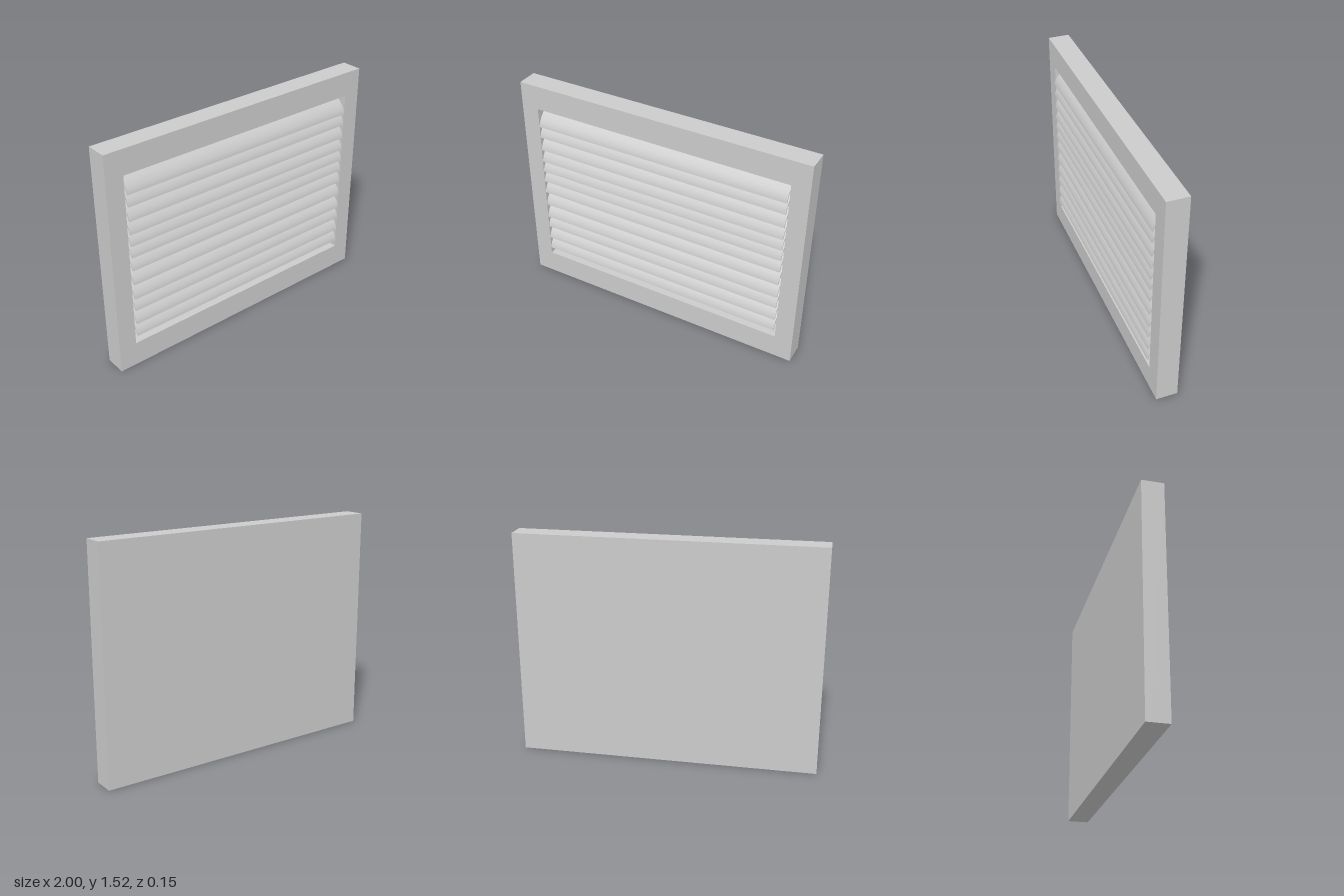
import * as THREE from 'three';
import { toCreasedNormals } from 'three/addons/utils/BufferGeometryUtils.js';

const W = 2, H = 1.52, FRONT = 0.065, BACK = -0.077, RECESS = -0.05;
const OPEN = { x: 0.88, y0: 0.165, y1: 1.355 };
const SLAT_HALF = 0.87;
// height of each slat's lower edge; the spacing is uneven
const SLAT_Y = [0.225, 0.316, 0.417, 0.503, 0.608, 0.711, 0.802, 0.882, 0.963, 1.053, 1.15, 1.23];

const material = new THREE.MeshStandardMaterial({ color: 0xcccccc });

function addMesh(parent, name, geometry) {
  const mesh = new THREE.Mesh(geometry, material);
  mesh.name = name;
  parent.add(mesh);
  return mesh;
}

function rectPath(path, x0, y0, x1, y1) {
  path.moveTo(x0, y0);
  path.lineTo(x1, y0);
  path.lineTo(x1, y1);
  path.lineTo(x0, y1);
  path.closePath();
  return path;
}

// curved blade: section drawn in (z, y), swept along x
function slatGeometry() {
  const shape = new THREE.Shape();
  shape.moveTo(0.068, 0.003);
  shape.lineTo(0.077, 0);
  shape.quadraticCurveTo(0.07, 0.055, 0.002, 0.106);
  shape.lineTo(-0.004, 0.098);
  shape.quadraticCurveTo(0.06, 0.05, 0.068, 0.003);
  const geometry = new THREE.ExtrudeGeometry(shape, {
    depth: SLAT_HALF * 2, bevelEnabled: false, curveSegments: 12,
  });
  geometry.translate(0, 0, -SLAT_HALF);
  geometry.rotateY(-Math.PI / 2); // section x becomes world z
  return toCreasedNormals(geometry, 0.6);
}

export function createModel() {
  const model = new THREE.Group();
  model.name = 'louverVent';

  // frame with a rectangular opening
  const outline = rectPath(new THREE.Shape(), -W / 2, 0, W / 2, H);
  outline.holes.push(rectPath(new THREE.Path(), -OPEN.x, OPEN.y0, OPEN.x, OPEN.y1));
  const frame = new THREE.ExtrudeGeometry(outline, { depth: FRONT - RECESS, bevelEnabled: false });
  addMesh(model, 'frame', frame).position.z = RECESS;

  // closed back behind the opening
  const back = new THREE.BoxGeometry(W, H, RECESS - BACK);
  addMesh(model, 'backPanel', back).position.set(0, H / 2, (RECESS + BACK) / 2);

  // slats, tilted back at the top
  const slats = new THREE.Group();
  slats.name = 'slats';
  model.add(slats);
  const blade = slatGeometry();
  SLAT_Y.forEach((y, i) => {
    addMesh(slats, `slat${i + 1}`, blade).position.y = y;
  });

  return model;
}
